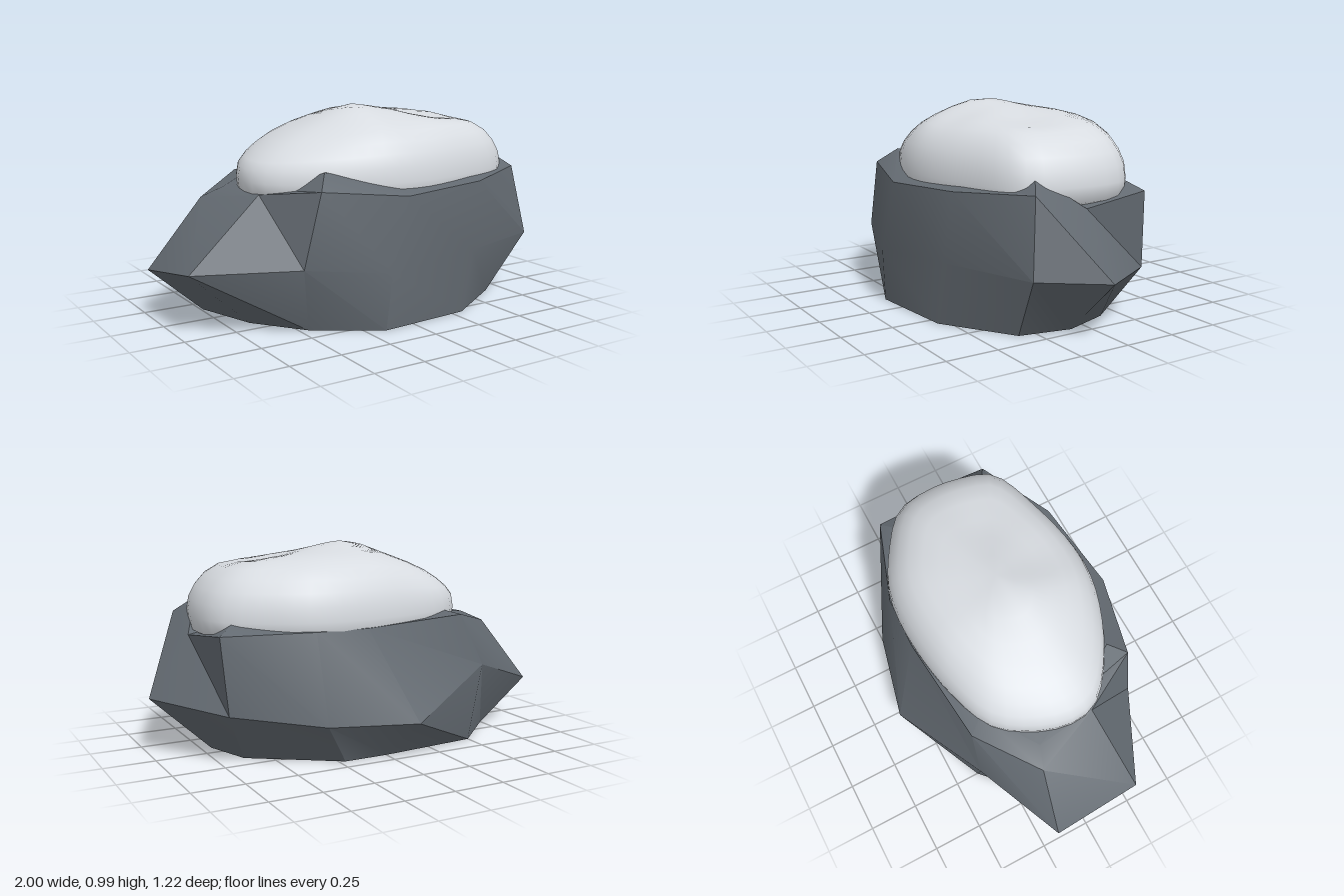
import * as THREE from 'three';
import { toCreasedNormals } from 'three/addons/utils/BufferGeometryUtils.js';

// Skin a stack of rings (bottom to top, counter-clockwise from above) and close both ends.
function loft(rings, bottom, top) {
  const n = rings[0].length;
  const pos = [...rings.flat(), bottom, top].flat();
  const index = [];
  const b = rings.length * n, t = b + 1, last = (rings.length - 1) * n;
  for (let i = 0; i < n; i++) {
    const j = (i + 1) % n;
    for (let r = 0; r < rings.length - 1; r++) {
      const lo = r * n, hi = lo + n;
      index.push(lo + i, lo + j, hi + i, lo + j, hi + j, hi + i);
    }
    index.push(b, j, i, t, last + i, last + j);
  }
  const geo = new THREE.BufferGeometry();
  geo.setAttribute('position', new THREE.Float32BufferAttribute(pos, 3));
  geo.setIndex(index);
  geo.computeVertexNormals();
  return geo;
}

function makeRock(material) {
  // Footprint, widest belt and upper rim, starting at the back right corner
  const base = [[0.62, -0.15], [0.22, -0.42], [0, -0.42], [-0.5, -0.38], [-0.74, -0.15], [-0.64, 0.16],
    [-0.46, 0.40], [-0.16, 0.59], [0.31, 0.55], [0.65, 0.33], [0.7, 0.08]].map(([x, z]) => [x, 0, z]);
  const belt = [[0.74, 0.245, -0.29], [0.35, 0.2, -0.51], [-0.07, 0.19, -0.61], [-0.57, 0.38, -0.39],
    [-1, 0.23, -0.18], [-0.98, 0.3, 0.27], [-0.53, 0.31, 0.49], [-0.14, 0.27, 0.61],
    [0.37, 0.3, 0.55], [0.85, 0.3, 0.39], [1, 0.28, 0.08]];
  const rim = [[0.77, 0.61, -0.27], [0.36, 0.62, -0.41], [0.1, 0.62, -0.42], [-0.45, 0.64, -0.37],
    [-0.74, 0.56, -0.14], [-0.6, 0.61, 0.2], [-0.44, 0.65, 0.49], [-0.04, 0.61, 0.59],
    [0.42, 0.63, 0.53], [0.79, 0.65, 0.34], [0.8, 0.57, 0.08]];
  // Uneven ledge where the rock meets the snow
  const ledgeY = [0.66, 0.64, 0.62, 0.66, 0.61, 0.62, 0.72, 0.64, 0.65, 0.72, 0.59];
  const ledge = rim.map(([x, , z], i) => [0.08 + (x - 0.08) * 0.87, ledgeY[i], 0.05 + (z - 0.05) * 0.8]);
  const geo = loft([base, belt, rim, ledge], [0, 0, 0.05], [0.08, 0.66, 0.05]);
  const rock = new THREE.Mesh(toCreasedNormals(geo, 0.5), material);
  rock.name = 'rock';
  return rock;
}

function makeSnow(material) {
  // Outline from above
  const outline = new THREE.CatmullRomCurve3([[-0.62, 0.08], [-0.59, 0.22], [-0.4, 0.38], [-0.12, 0.5],
    [0.1, 0.525], [0.4, 0.47], [0.7, 0.35], [0.76, 0.2], [0.78, 0], [0.74, -0.17], [0.55, -0.32],
    [0.38, -0.4], [0.15, -0.42], [-0.2, -0.37], [-0.45, -0.27], [-0.57, -0.1]]
    .map(([x, z]) => new THREE.Vector3(x, 0, z)), true).getSpacedPoints(48).slice(0, 48);
  const bump = (x, z, cx, cz, r) => Math.exp(-((x - cx) ** 2 + (z - cz) ** 2) / (r * r));
  // Gently lumpy dome: lower on one end, a crest near the middle and a shallow hollow
  const place = (x, y, z) => {
    const k = THREE.MathUtils.smoothstep(y, 0.66, 0.92);
    const slope = 0.15 * Math.max(0, -0.05 - x) * k;
    const lumps = 0.035 * bump(x, z, -0.06, 0.11, 0.17) - 0.035 * bump(x, z, 0.4, 0.14, 0.16)
      - 0.02 * bump(x, z, 0.1, 0.33, 0.15);
    return [x, y - slope + lumps * k, z];
  };
  const profile = [[0.9, 0.55], [0.99, 0.59], [1, 0.66], [0.985, 0.73], [0.94, 0.79], [0.87, 0.845],
    [0.77, 0.89], [0.64, 0.92], [0.48, 0.94], [0.32, 0.95], [0.16, 0.957]];
  const cx = 0.1, cz = 0.05;
  const rings = profile.map(([s, y]) =>
    outline.map((p) => place(cx + (p.x - cx) * s, y, cz + (p.z - cz) * s)));
  const snow = new THREE.Mesh(loft(rings, [cx, 0.55, cz], place(cx, 0.96, cz)), material);
  snow.name = 'snowCap';
  return snow;
}

export function createModel() {
  const stone = new THREE.MeshStandardMaterial({ color: 0x636a71 });
  stone.name = 'stone grey';
  const white = new THREE.MeshStandardMaterial({ color: 0xd8dce1 });
  white.name = 'snow white';
  const group = new THREE.Group();
  group.name = 'snowyRock';
  group.add(makeRock(stone), makeSnow(white));
  return group;
}
